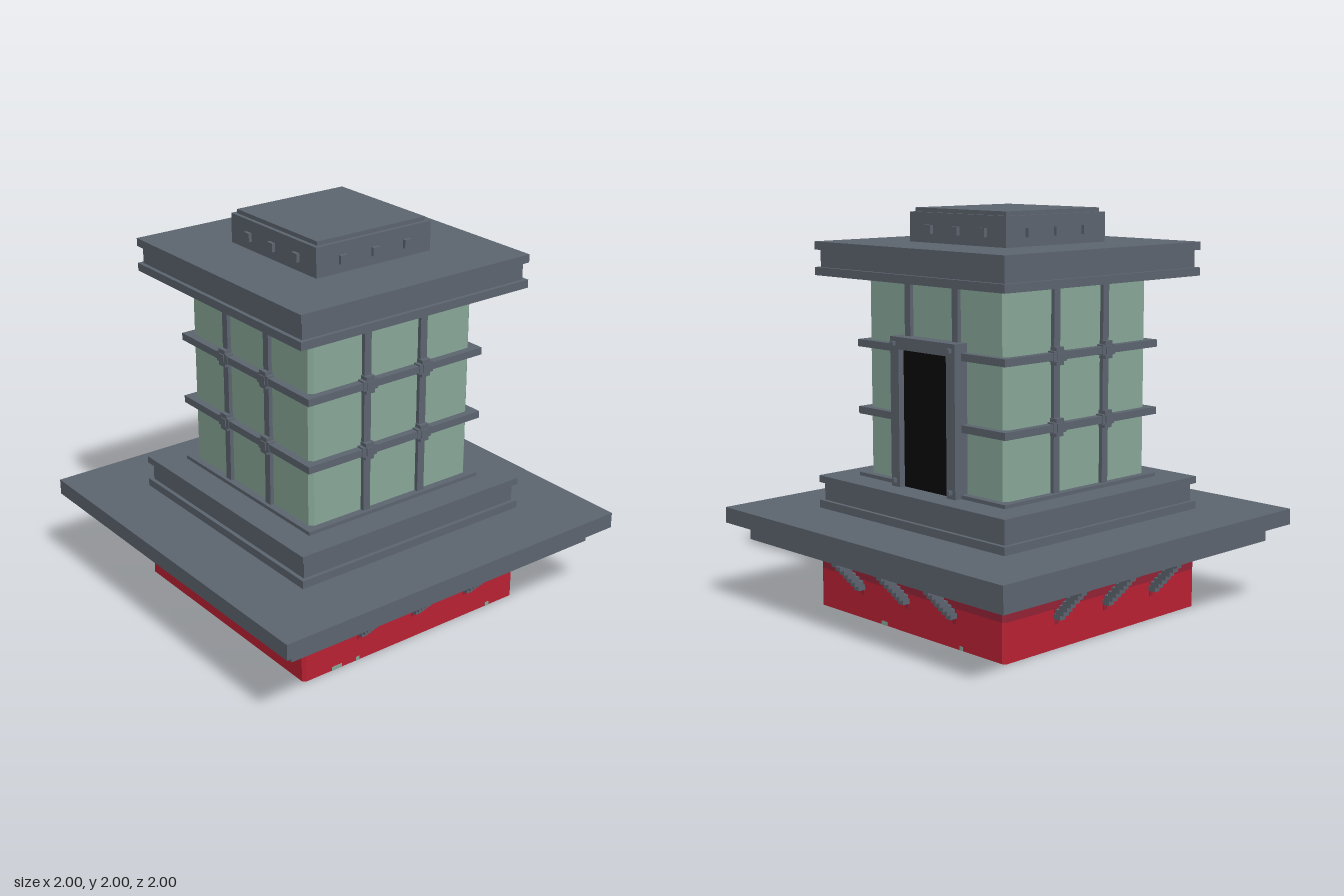
import * as THREE from 'three';

const mat = (name, color) => {
  const m = new THREE.MeshStandardMaterial({ color });
  m.name = name;
  return m;
};

export function createModel() {
  const model = new THREE.Group();
  model.name = 'kiosk';
  const slate = mat('slate', 0x5d6570);
  const glass = mat('paleGreen', 0x89a999);
  const red = mat('red', 0xbb2133);
  const darkRed = mat('darkRed', 0x942336);
  const black = mat('black', 0x0a0a0a);

  const box = (parent, name, m, w, h, d, x, y, z) => {
    const mesh = new THREE.Mesh(new THREE.BoxGeometry(w, h, d), m);
    mesh.name = name;
    mesh.position.set(x, y, z);
    parent.add(mesh);
    return mesh;
  };
  // Square slab given by its half width and height range
  const slab = (name, m, half, y0, y1) =>
    box(model, name, m, half * 2, y1 - y0, half * 2, 0, (y0 + y1) / 2, 0);
  // Square block with cut vertical corners
  const block = (name, m, h, c, y0, y1) => {
    const s = new THREE.Shape([
      [h, c - h], [h, h - c], [h - c, h], [c - h, h],
      [-h, h - c], [-h, c - h], [c - h, -h], [h - c, -h],
    ].map(([x, y]) => new THREE.Vector2(x, y)));
    const geo = new THREE.ExtrudeGeometry(s, { depth: y1 - y0, bevelEnabled: false });
    geo.rotateX(-Math.PI / 2);
    const mesh = new THREE.Mesh(geo, m);
    mesh.name = name;
    mesh.position.y = y0;
    model.add(mesh);
  };

  // Red base with a darker upper band
  slab('baseUnderside', slate, 0.648, 0, 0.004);
  block('baseLower', red, 0.665, 0.015, 0.002, 0.195);
  block('baseUpper', darkRed, 0.665, 0.015, 0.195, 0.34);

  // Overhanging deck and stepped plinth
  [[0.915, 0.34, 0.425], [1, 0.425, 0.505]].forEach((a) => slab('deck', slate, ...a));
  [[0.665, 0.505, 0.545], [0.645, 0.545, 0.635], [0.665, 0.635, 0.67], [0.52, 0.67, 0.688]]
    .forEach((a) => slab('plinth', slate, ...a));

  // Glazed room with rails running all round
  block('glazing', glass, 0.482, 0.02, 0.688, 1.655);
  slab('topRail', slate, 0.5, 1.655, 1.67);
  [1.003, 1.338].forEach((y) => slab('rail', slate, 0.52, y - 0.018, y + 0.018));

  // Roof and cap
  [[0.665, 1.67, 1.71], [0.645, 1.71, 1.795], [0.665, 1.795, 1.835]]
    .forEach((a) => slab('roof', slate, ...a));
  slab('cap', slate, 0.335, 1.835, 1.98);
  slab('capTop', slate, 0.315, 1.98, 2);

  // Details repeated on each of the four sides, built facing +z
  for (let i = 0; i < 4; i++) {
    const side = new THREE.Group();
    side.name = 'sideDetails';
    side.rotation.y = (i * Math.PI) / 2;
    model.add(side);

    for (const x of [-0.167, 0.167]) {
      box(side, 'mullion', slate, 0.04, 0.98, 0.03, x, 1.175, 0.487);
      // Stepped bosses where the bars cross, left out behind the door
      if (i !== 1) for (const y of [1.003, 1.338]) {
        box(side, 'bossWide', slate, 0.085, 0.05, 0.04, x, y, 0.503);
        box(side, 'bossTall', slate, 0.05, 0.085, 0.04, x, y, 0.503);
        box(side, 'bossStud', slate, 0.04, 0.04, 0.04, x, y, 0.508);
      }
    }
    for (const x of [-0.188, 0, 0.188])
      box(side, 'capStud', slate, 0.04, 0.042, 0.03, x, 1.9, 0.337);

    // Stair-stepped braces under the deck
    for (const x of [-0.333, 0, 0.333]) {
      for (let k = 0; k < 8; k++)
        box(side, 'brace', slate, 0.036, 0.0245, 0.052, x, 0.162 + k * 0.0238, 0.68 + k * 0.0225);
      box(side, 'braceMark', darkRed, 0.024, 0.08, 0.004, x, 0.16, 0.665);
    }
  }

  // Doorway on the left side (+x)
  const door = new THREE.Group();
  door.name = 'doorway';
  model.add(door);
  box(door, 'doorOpening', black, 0.008, 0.67, 0.34, 0.524, 1.005, 0);
  for (const s of [-1, 1]) {
    box(door, 'doorJamb', slate, 0.09, 0.73, 0.06, 0.515, 1.035, s * 0.198);
    for (const y of [0.702, 1.368])
      box(door, 'doorStud', slate, 0.03, 0.02, 0.02, 0.565, y, s * 0.198);
  }
  box(door, 'doorLintel', slate, 0.09, 0.06, 0.34, 0.515, 1.37, 0);

  // Small worn patches along the foot of the base
  [[-0.47, 0.06], [-0.345, 0.02], [0.49, 0.025]].forEach(([x, w]) =>
    box(model, 'wornPatch', glass, w, 0.02, 0.004, x, 0.012, 0.665));
  [[0.17, 0.04], [-0.38, 0.02]].forEach(([z, w]) =>
    box(model, 'wornPatch', glass, 0.004, 0.02, w, 0.665, 0.012, z));

  return model;
}
